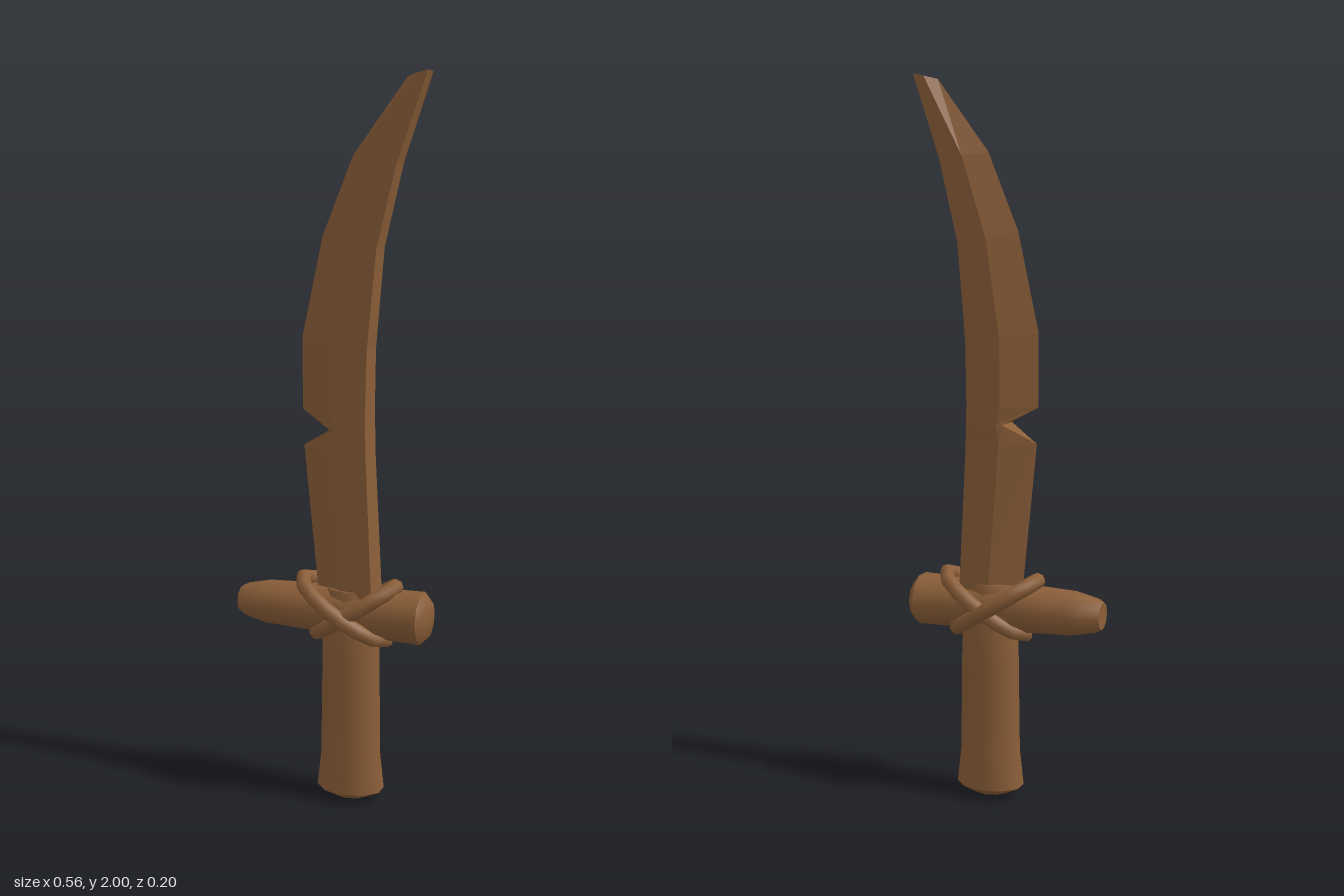
import * as THREE from 'three';
import { toCreasedNormals } from 'three/addons/utils/BufferGeometryUtils.js';

const wood = new THREE.MeshStandardMaterial({ color: 0x8b5e38 });
wood.name = 'brown wood';

function add(group, name, geometry) {
  const mesh = new THREE.Mesh(geometry, wood);
  mesh.name = name;
  group.add(mesh);
  return mesh;
}

// Turned stick with soft sides and crisp ends
function stick(profile, sides) {
  const points = profile.map(([r, y]) => new THREE.Vector2(r, y));
  return new THREE.LatheGeometry(points, sides);
}

// Curved blade: sharp edge, mid ridge and flat spine, lofted through stations
function bladeGeometry() {
  // edge x, edge y, spine x, spine y, half thickness, edge half thickness
  const stations = [
    [-0.04, 0.5, 0.13, 0.5, 0.046, 0],
    [-0.05, 0.63, 0.123, 0.63, 0.045, 0],
    [-0.088, 1.01, 0.105, 1.0, 0.041, 0],
    [0.0, 1.062, 0.104, 1.062, 0.041, 0.037], // notch
    [-0.092, 1.11, 0.103, 1.11, 0.04, 0],
    [-0.092, 1.31, 0.106, 1.28, 0.038, 0],
    [-0.033, 1.58, 0.13, 1.55, 0.034, 0],
    [0.053, 1.79, 0.183, 1.77, 0.03, 0],
    [0.2, 1.985, 0.262, 2.0, 0.025, 0],
  ];
  const pos = [], index = [], n = 6;
  for (const [xe, ye, xb, yb, t, ze] of stations) {
    const f = ze > 0 ? 0.15 : 0.5;
    const xr = xe + (xb - xe) * f, yr = ye + (yb - ye) * f;
    pos.push(xe, ye, ze, xr, yr, t, xb, yb, t, xb, yb, -t, xr, yr, -t, xe, ye, -ze);
  }
  for (let i = 0; i < stations.length - 1; i++) {
    for (let j = 0; j < n; j++) {
      const a = i * n + j, b = i * n + (j + 1) % n;
      index.push(a, b, b + n, a, b + n, a + n);
    }
  }
  const top = (stations.length - 1) * n;
  for (let j = 1; j < n - 1; j++) {
    index.push(0, j + 1, j, top, top + j, top + j + 1);
  }
  const g = new THREE.BufferGeometry();
  g.setAttribute('position', new THREE.Float32BufferAttribute(pos, 3));
  g.setIndex(index);
  const flat = g.toNonIndexed();
  flat.computeVertexNormals();
  return flat;
}

// Oval rope loop slanting along (dx, dy) and wrapping round in z
function ropeGeometry(cx, cy, dx, dy, rz) {
  const points = [];
  for (let i = 0; i < 10; i++) {
    const a = (i / 10) * Math.PI * 2;
    points.push(new THREE.Vector3(cx + dx * Math.cos(a), cy + dy * Math.cos(a), rz * Math.sin(a)));
  }
  const curve = new THREE.CatmullRomCurve3(points, true);
  return new THREE.TubeGeometry(curve, 14, 0.022, 8, true);
}

export function createModel() {
  const sword = new THREE.Group();
  sword.name = 'woodenSword';

  add(sword, 'blade', bladeGeometry());

  // Grip, oval in section, flaring at the foot
  const grip = stick([
    [0, 0], [0.05, 0.006], [0.097, 0.03], [0.086, 0.13], [0.083, 0.35],
    [0.08, 0.58], [0.07, 0.615], [0, 0.62],
  ], 10);
  grip.scale(1, 1, 0.73);
  grip.translate(0.05, 0, 0);
  add(sword, 'grip', toCreasedNormals(grip, 0.8));

  // Crossguard, thicker toward +x
  const guard = stick([
    [0, -0.28], [0.038, -0.28], [0.046, -0.266], [0.061, -0.2], [0.067, -0.06],
    [0.07, 0.12], [0.073, 0.258], [0.052, 0.277], [0, 0.277],
  ], 10);
  guard.rotateZ(-Math.PI / 2);
  guard.translate(0, 0.549, 0);
  add(sword, 'crossguard', toCreasedNormals(guard, 0.8));

  // Two crossed rope lashings
  add(sword, 'outerLashing', ropeGeometry(0.03, 0.553, -0.122, 0.078, 0.081));
  add(sword, 'innerLashing', ropeGeometry(0.063, 0.553, 0.118, 0.078, 0.07));

  return sword;
}
